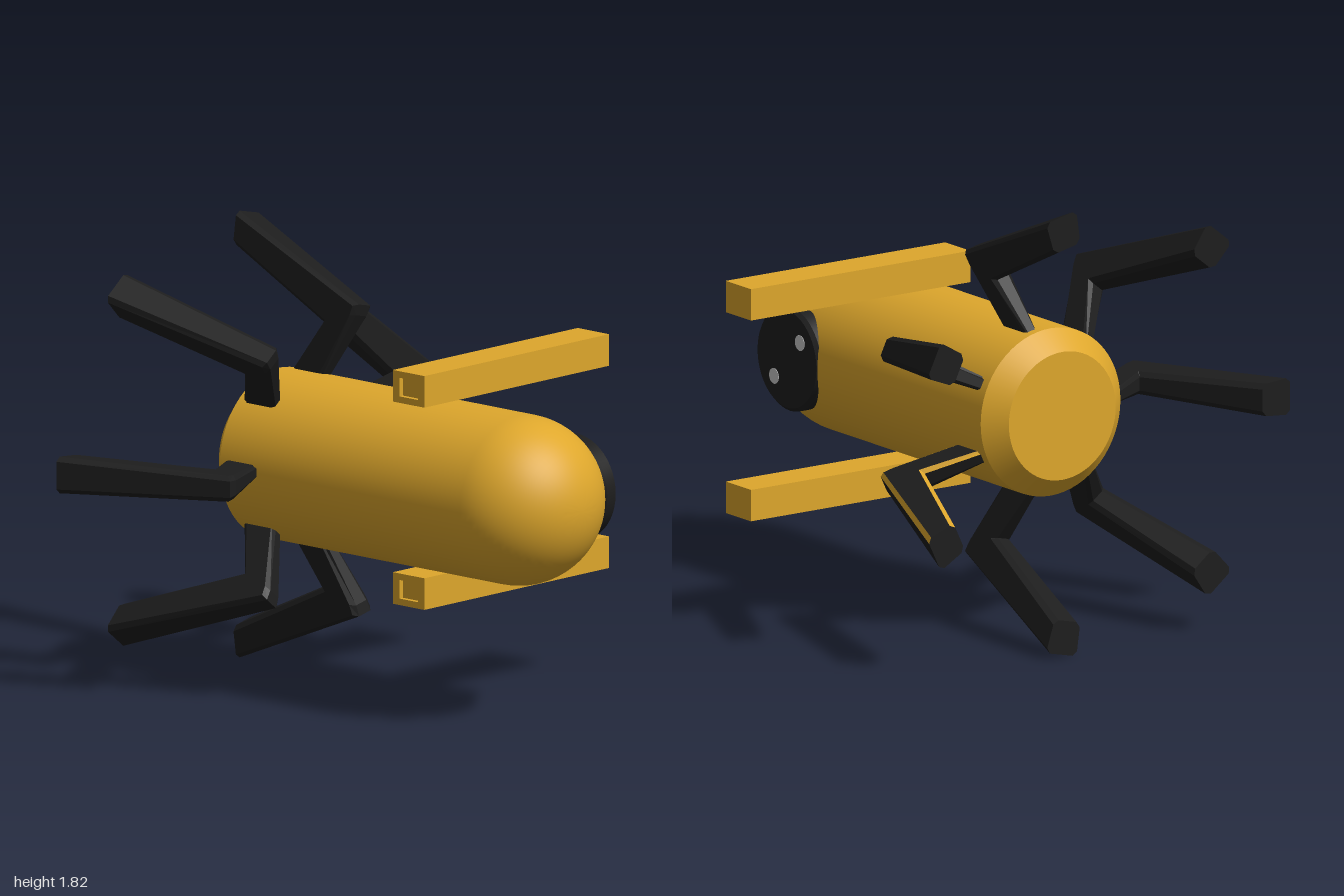
import * as THREE from 'three';
import { toCreasedNormals } from 'three/addons/utils/BufferGeometryUtils.js';

const CX = 0.008, CY = 0.92, R = 0.344;

const yellow = new THREE.MeshStandardMaterial({ color: 0xdea72c });
const black = new THREE.MeshStandardMaterial({ color: 0x1d1d1d });
const white = new THREE.MeshStandardMaterial({ color: 0xe4e4e4 });

function add(parent, name, geometry, material, x = 0, y = 0, z = 0) {
  const mesh = new THREE.Mesh(geometry, material);
  mesh.name = name;
  mesh.position.set(x, y, z);
  parent.add(mesh);
  return mesh;
}

function lathe(points, segments) {
  const geo = new THREE.LatheGeometry(points.map(([r, y]) => new THREE.Vector2(r, y)), segments);
  return toCreasedNormals(geo, 0.5);
}

// Stations along a leg in its radial plane: inner (r, z), outer (r, z)
const LEG = [
  [0.25, -0.68, 0.25, -0.50],
  [0.55, -0.49, 0.60, -0.322],
  [0.55, -0.49, 0.645, -0.312],
  [0.785, -1.0, 0.922, -1.0],
];

// Eight-sided section with chamfered corners; the width grows with the radius
function legSection([ri, zi, ro, zo]) {
  const length = Math.hypot(ro - ri, zo - zi);
  const cu = 0.02 / length;
  const corners = [
    [0, -1, 1], [cu, -1, 0], [1 - cu, -1, 0], [1, -1, 1],
    [1, 1, 1], [1 - cu, 1, 0], [cu, 1, 0], [0, 1, 1],
  ];
  return corners.map(([u, side, cut]) => {
    const r = ri + (ro - ri) * u;
    const half = 0.083 * r;
    const v = half - cut * Math.min(0.02, half * 0.4);
    return new THREE.Vector3(r, side * v, zi + (zo - zi) * u);
  });
}

// Skins the chosen sides of a leg, with an optional tip cap
function legGeometry(sides, cap) {
  const rings = LEG.map(legSection);
  const tris = [];
  for (let s = 0; s < rings.length - 1; s++) {
    for (const i of sides) {
      const j = (i + 1) % 8;
      const a = rings[s][i], b = rings[s][j], c = rings[s + 1][j], d = rings[s + 1][i];
      tris.push(a, d, c, a, c, b);
    }
  }
  const tip = rings[rings.length - 1];
  if (cap) for (let i = 1; i < 7; i++) tris.push(tip[0], tip[i + 1], tip[i]);
  const geo = new THREE.BufferGeometry().setFromPoints(tris);
  geo.computeVertexNormals();
  return geo;
}

export function createModel() {
  const model = new THREE.Group();

  // Capsule body with a chamfered rear
  const profile = [[0, -0.735], [0.263, -0.735], [R, -0.655], [R, 0.655]];
  for (let i = 1; i <= 20; i++) {
    const a = (i / 20) * Math.PI / 2;
    profile.push([i === 20 ? 0 : R * Math.cos(a), 0.655 + 0.345 * Math.sin(a)]);
  }
  const body = add(model, 'body', lathe(profile, 64), yellow, CX, CY, 0);
  body.rotation.x = Math.PI / 2;

  // Round side plate with two lights
  const plate = add(model, 'sidePlate', lathe(
    [[0, 0], [0.2, 0], [0.215, 0.015], [0.215, 0.064], [0.2, 0.079], [0, 0.079]], 48),
  black, 0.276, 0.923, 0.658);
  plate.rotation.z = -Math.PI / 2;
  for (const [y, z] of [[1.006, 0.57], [0.836, 0.745]]) {
    const light = add(model, 'light', new THREE.CylinderGeometry(0.032, 0.032, 0.01, 24), white, 0.352, y, z);
    light.rotation.z = -Math.PI / 2;
  }

  // Bars above and below, each with a shallow recess in one end
  const w = 0.171, h = 0.129;
  const rim = new THREE.Shape();
  rim.moveTo(-w / 2, -h / 2).lineTo(w / 2, -h / 2).lineTo(w / 2, h / 2).lineTo(-w / 2, h / 2).closePath();
  const hole = new THREE.Path();
  hole.moveTo(-0.05, -0.038).lineTo(-0.05, 0.038).lineTo(0.05, 0.038).lineTo(0.05, -0.038).closePath();
  rim.holes.push(hole);
  const rimGeo = new THREE.ExtrudeGeometry(rim, { depth: 0.02, bevelEnabled: false });
  rimGeo.rotateY(-Math.PI / 2);
  for (const [name, y] of [['upperBar', 1.334], ['lowerBar', 0.509]]) {
    const bar = new THREE.Group();
    bar.name = name;
    bar.position.set(0, y, 0.215);
    add(bar, 'beam', new THREE.BoxGeometry(1.06, h, w), yellow, 0.385, 0, 0);
    add(bar, 'beamRim', rimGeo, yellow, -0.145, 0, 0);
    model.add(bar);
  }

  // Seven bent legs around the rear; one has coloured upper chamfers
  const all = legGeometry([0, 1, 2, 3, 4, 5, 6, 7], true);
  const plain = legGeometry([0, 1, 2, 3, 5, 7], true);
  const trim = legGeometry([4, 6], false);
  for (let i = 0; i < 7; i++) {
    const striped = i === 3;
    const leg = new THREE.Group();
    leg.name = 'leg' + (i + 1);
    leg.position.set(0, CY, 0);
    leg.rotation.z = Math.PI + i * Math.PI * 2 / 7;
    add(leg, 'limb', striped ? plain : all, black);
    if (striped) add(leg, 'limbTrim', trim, yellow);
    model.add(leg);
  }

  return model;
}
